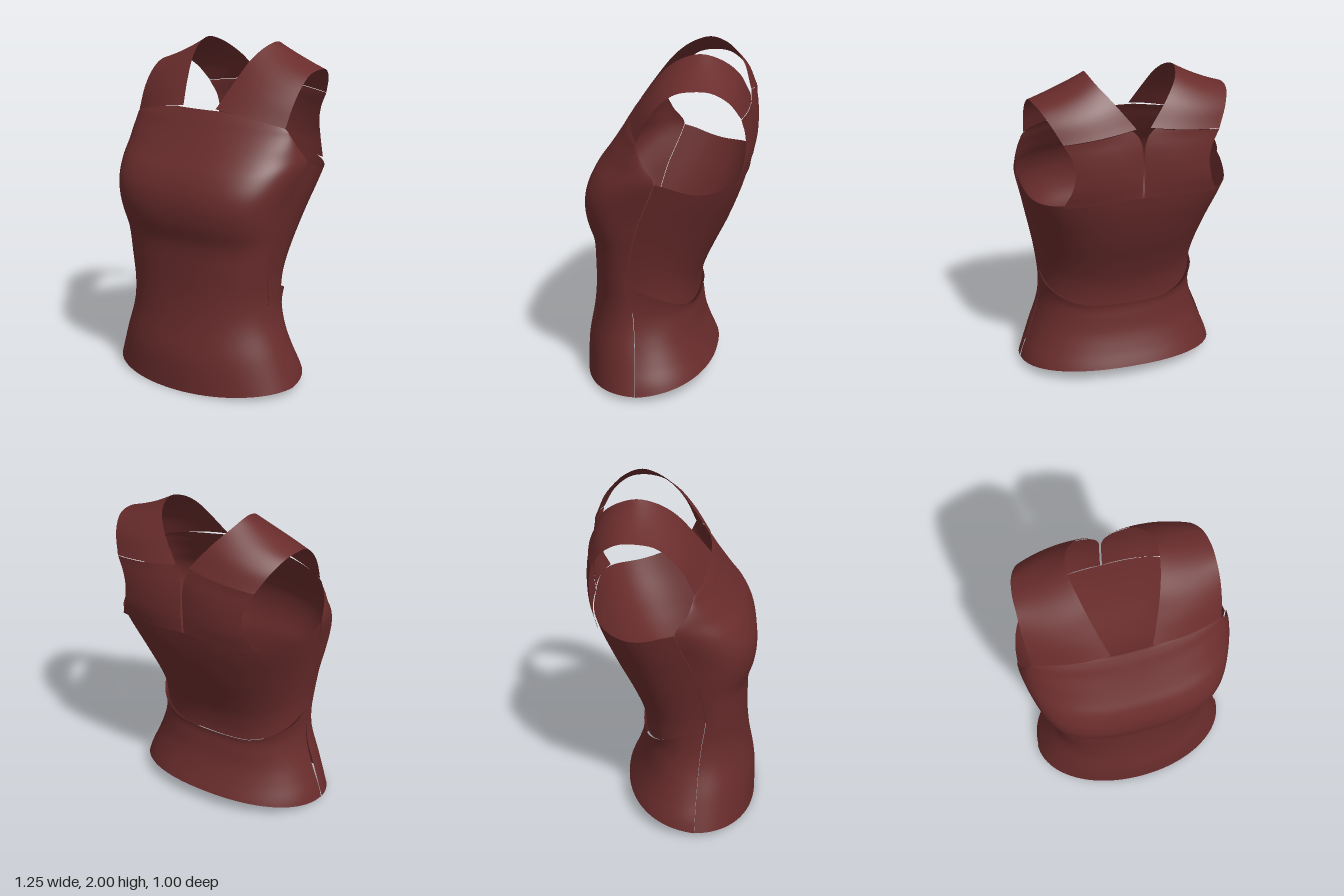
import * as THREE from 'three';

const material = new THREE.MeshStandardMaterial({ color: 0x6a2c2c, side: THREE.DoubleSide });
const lerp = THREE.MathUtils.lerp;

// Smooth interpolation of key rows [y, value, value...] at height y
function sample(rows, y) {
  const last = rows.length - 1;
  y = THREE.MathUtils.clamp(y, rows[0][0], rows[last][0]);
  let i = 0;
  while (i < last - 1 && y > rows[i + 1][0]) i++;
  const a = rows[i], b = rows[i + 1], h = b[0] - a[0], t = (y - a[0]) / h;
  const t2 = t * t, t3 = t2 * t;
  const slope = (j, k) => {
    const p = rows[Math.max(j - 1, 0)], q = rows[Math.min(j + 1, last)];
    return (q[k] - p[k]) / (q[0] - p[0]);
  };
  return a.map((_, k) => (2 * t3 - 3 * t2 + 1) * a[k] + (3 * t2 - 2 * t3) * b[k]
    + (t3 - 2 * t2 + t) * h * slope(i, k) + (t3 - t2) * h * slope(i + 1, k));
}

// Cloth panel: grid of points from f(u, v)
function panel(name, f, nu, nv) {
  const pos = [], index = [];
  for (let j = 0; j <= nv; j++)
    for (let i = 0; i <= nu; i++) pos.push(...f(i / nu, j / nv));
  for (let j = 0; j < nv; j++)
    for (let i = 0; i < nu; i++) {
      const a = j * (nu + 1) + i, b = a + 1, c = a + nu + 1, d = c + 1;
      index.push(a, b, d, a, d, c);
    }
  const g = new THREE.BufferGeometry();
  g.setAttribute('position', new THREE.Float32BufferAttribute(pos, 3));
  g.setIndex(index);
  g.computeVertexNormals();
  const mesh = new THREE.Mesh(g, material);
  mesh.name = name;
  return mesh;
}

// Front sections: y, half width, front z, side seam z, x power, z power
const FRONT = [
  [0, 0.625, 0.5, 0.12, 0.97, 0.97],
  [0.2, 0.56, 0.496, 0.13, 0.97, 0.97],
  [0.4, 0.492, 0.46, 0.145, 0.93, 0.93],
  [0.55, 0.475, 0.443, 0.16, 0.9, 0.9],
  [0.72, 0.487, 0.438, 0.18, 0.88, 0.88],
  [0.88, 0.515, 0.443, 0.16, 0.84, 0.84],
  [1.0, 0.54, 0.473, 0.13, 0.74, 0.74],
  [1.1, 0.56, 0.482, 0.1, 0.68, 0.68],
  [1.2, 0.585, 0.468, 0.06, 0.68, 0.68],
  [1.3, 0.612, 0.425, 0.02, 0.74, 0.76],
  [1.37, 0.622, 0.375, 0.005, 0.8, 0.85],
  [1.45, 0.602, 0.32, 0.065, 0.9, 1.05],
  [1.52, 0.572, 0.275, 0.097, 1, 1.35],
  [1.57, 0.525, 0.245, 0.117, 1, 1.7],
  [1.605, 0.37, 0.222, 0.16, 1, 2],
  [1.63, 0.15, 0.205, 0.195, 1, 2],
];

// Back sections: y, half width, back z, power
const BACK = [
  [0.03, 0.62, -0.325, 0.9],
  [0.1, 0.6, -0.298, 0.9],
  [0.2, 0.558, -0.255, 0.89],
  [0.3, 0.52, -0.22, 0.87],
  [0.4, 0.49, -0.2, 0.84],
  [0.5, 0.476, -0.182, 0.81],
  [0.65, 0.48, -0.208, 0.8],
  [0.8, 0.5, -0.268, 0.78],
  [1.0, 0.54, -0.363, 0.75],
  [1.2, 0.585, -0.44, 0.68],
  [1.36, 0.62, -0.485, 0.63],
];

const signedPow = (s, p) => Math.sign(s) * Math.pow(Math.abs(s), p);

function frontPoint(u, v) {
  const a = (u - 0.5) * Math.PI, s = Math.sin(a), c = Math.max(Math.cos(a), 0);
  const y = 1.63 * (1 - Math.pow(1 - v, 1.5));
  const [, w, f, seam, px, pz] = sample(FRONT, y);
  const hem = 0.035 * s * s * Math.max(0, 1 - y / 0.6);
  return [w * signedPow(s, px), y + hem, seam + (f - seam) * Math.pow(c, pz)];
}

// Back point between two edge lines, each a function of c (0 at seam, 1 at centre)
function backPoint(bottom, top, outset) {
  return (u, v) => {
    const a = (u - 0.5) * Math.PI, s = -Math.sin(a), c = Math.max(Math.cos(a), 0);
    const y = lerp(bottom(c), top(c), v);
    const [, w, b, p] = sample(BACK, y);
    const seam = sample(FRONT, y)[3] - 0.003;
    const o = outset * Math.pow(v, 6) * Math.min(1, c * 3);
    return [(w + o) * signedPow(s, p), y, seam + (b - o - seam) * Math.pow(c, p)];
  };
}
const hemLine = c => 0.03 + 0.07 * c;
const waistLine = c => 0.65 - 0.16 * Math.min(1, c * 1.1);
const armholeLine = c => 1.35 - 0.02 * c - 0.055 * Math.sin(Math.PI * Math.pow(c, 0.8));

// Shoulder strap edges, front to back
const curve = pts => new THREE.CatmullRomCurve3(pts.map(p => new THREE.Vector3(...p)));
const strapInner = curve([
  [0.12, 1.64, 0.2], [0.17, 1.78, 0.1], [0.21, 1.9, 0], [0.238, 1.97, -0.1],
  [0.252, 2.0, -0.21], [0.225, 1.965, -0.32], [0.15, 1.88, -0.41], [0.04, 1.742, -0.467]]);
const strapOuter = curve([
  [0.545, 1.562, 0.112], [0.555, 1.69, 0.05], [0.56, 1.78, -0.02], [0.56, 1.84, -0.1],
  [0.558, 1.86, -0.2], [0.54, 1.85, -0.3], [0.5, 1.79, -0.39], [0.445, 1.69, -0.455]]);

function strapPoint(u, v) {
  const p = strapInner.getPoint(v).lerp(strapOuter.getPoint(v), u);
  const bulge = 4 * u * (1 - u), a = v * Math.PI;
  p.y += bulge * (0.008 * Math.max(0, Math.cos(a)) - 0.01 * Math.sin(a));
  p.z += bulge * 0.024 * Math.cos(a);
  return [p.x, p.y, p.z];
}

// Yoke rows: y, inner x, outer x, inner z, outer z
const YOKE = [
  [1.333, 0.006, 0.45, -0.477, -0.425],
  [1.43, 0.006, 0.405, -0.484, -0.465],
  [1.54, 0.006, 0.385, -0.484, -0.477],
  [1.63, 0.008, 0.4, -0.478, -0.472],
  [1.7, 0.03, 0.43, -0.47, -0.46],
  [1.735, 0.065, 0.445, -0.468, -0.455],
];

function yokePoint(u, v) {
  const [y, xi, xo, zi, zo] = sample(YOKE, lerp(1.333, 1.735, v));
  const drop = (1 - u) * (0.048 * v * v + 0.03 * (1 - v) * (1 - v));
  return [lerp(xo, xi, u), y - drop, lerp(zo, zi, u) - 0.024 * 4 * u * (1 - u)];
}

// Mirrors a point function across x, keeping the outside facing out
const mirrored = f => (u, v) => {
  const [x, y, z] = f(1 - u, v);
  return [-x, y, z];
};

export function createModel() {
  const model = new THREE.Group();
  model.name = 'top';
  model.add(
    panel('frontPanel', frontPoint, 64, 72),
    panel('backPanel', backPoint(waistLine, armholeLine, 0), 64, 48),
    panel('lowerBackPanel', backPoint(hemLine, c => waistLine(c) + 0.01, 0.018), 64, 32),
    panel('leftStrap', strapPoint, 16, 48),
    panel('rightStrap', mirrored(strapPoint), 16, 48),
    panel('leftYoke', yokePoint, 16, 24),
    panel('rightYoke', mirrored(yokePoint), 16, 24),
  );
  return model;
}
